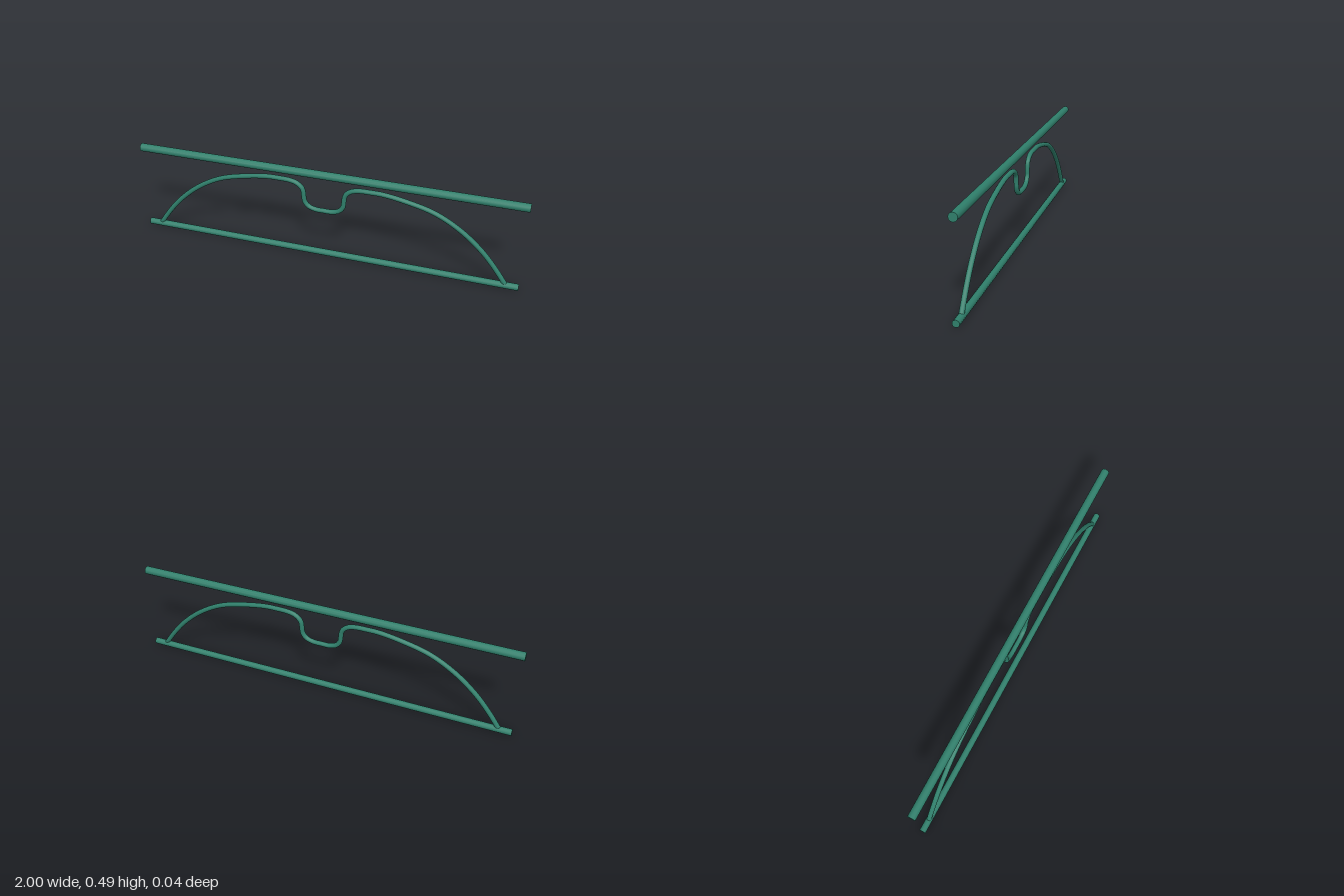
import * as THREE from 'three';

export function createModel() {
  const model = new THREE.Group();
  const material = new THREE.MeshStandardMaterial({ color: 0x2f7f6b });

  const add = (name, geometry) => {
    const mesh = new THREE.Mesh(geometry, material);
    mesh.name = name;
    model.add(mesh);
    return mesh;
  };

  // Horizontal rods
  const rod = (name, radius, y) => {
    const mesh = add(name, new THREE.CylinderGeometry(radius, radius, 2, 12));
    mesh.rotation.z = Math.PI / 2;
    mesh.position.y = y;
  };
  rod('topRod', 0.021, 0.471);
  rod('bottomRod', 0.017, 0.017);

  // Bent wire: half of the path, mirrored about the centre dip
  const half = [
    [-0.935, 0.02], [-0.875, 0.105], [-0.8, 0.193], [-0.69, 0.287], [-0.56, 0.359],
    [-0.41, 0.399], [-0.3, 0.416], [-0.24, 0.417], [-0.18, 0.415], [-0.14, 0.404],
    [-0.112, 0.378], [-0.105, 0.34], [-0.102, 0.31], [-0.083, 0.283], [-0.045, 0.269],
  ];
  const mirrored = half.map(([x, y]) => [-x, y]).reverse();
  const points = [...half, [0, 0.268], ...mirrored].map(([x, y]) => new THREE.Vector3(x, y, 0));
  const path = new THREE.CatmullRomCurve3(points, false, 'centripetal');
  add('bentWire', new THREE.TubeGeometry(path, 120, 0.0125, 12));

  // Caps closing the wire ends
  for (const [name, t, sign] of [['wireEndRight', 0, -1], ['wireEndLeft', 1, 1]]) {
    const cap = add(name, new THREE.CircleGeometry(0.0125, 12));
    cap.position.copy(path.getPoint(t));
    const outward = path.getTangent(t).multiplyScalar(sign);
    cap.quaternion.setFromUnitVectors(new THREE.Vector3(0, 0, 1), outward);
  }

  return model;
}
